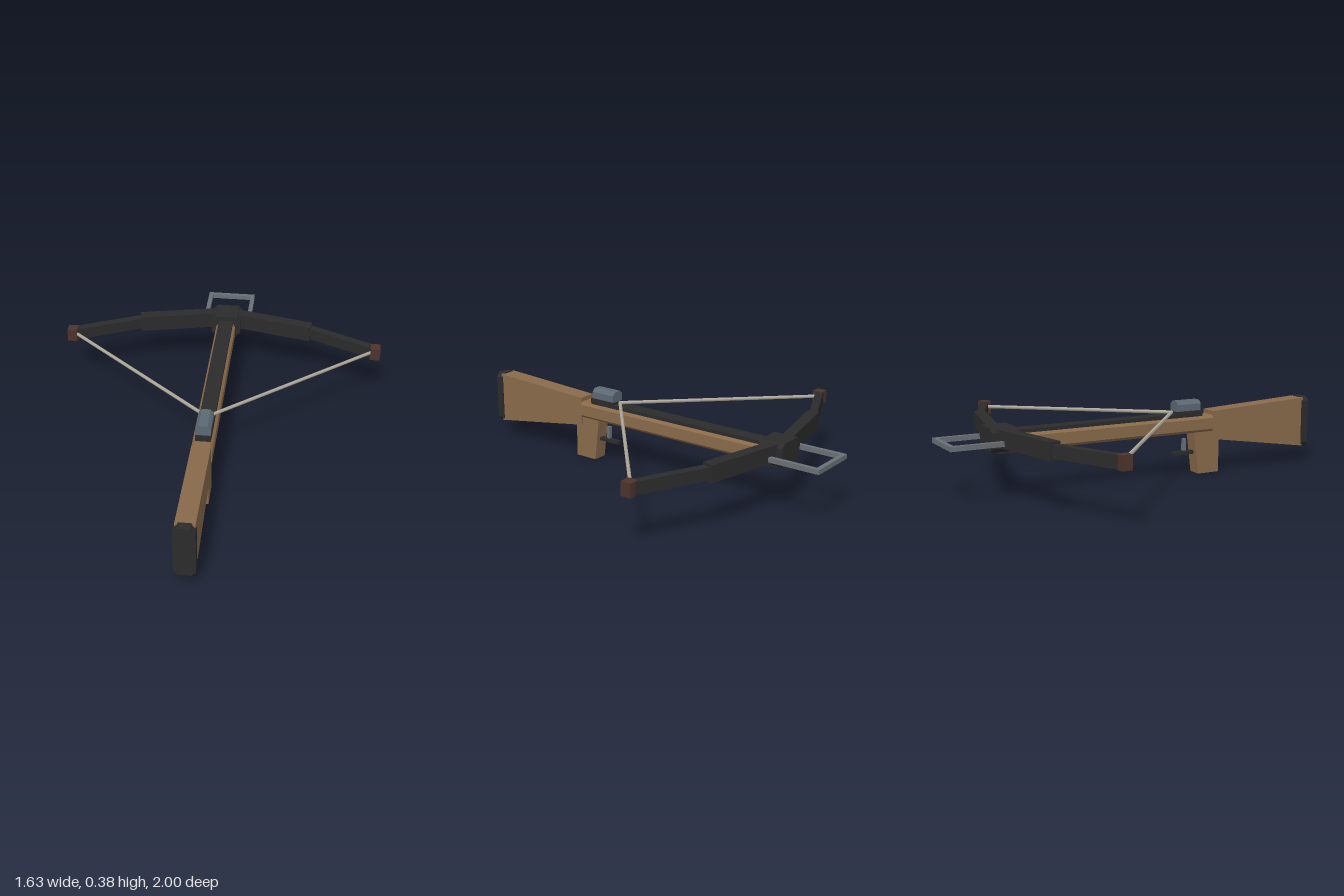
import * as THREE from 'three';

const mat = (name, color) => {
  const m = new THREE.MeshStandardMaterial({ color });
  m.name = name;
  return m;
};

export function createModel() {
  const wood = mat('wood', 0x8a6b4b);
  const black = mat('blackMetal', 0x2b2b2c);
  const steel = mat('steel', 0x697075);
  const blueSteel = mat('blueSteel', 0x5d6973);
  const tipBrown = mat('tipBrown', 0x4c342b);
  const cord = mat('cord', 0xb0aa9c);

  const model = new THREE.Group();
  model.name = 'crossbow';

  const add = (name, geometry, material, x = 0, y = 0, z = 0) => {
    const mesh = new THREE.Mesh(geometry, material);
    mesh.name = name;
    mesh.position.set(x, y, z);
    model.add(mesh);
    return mesh;
  };

  // box given by its limits
  const box = (name, material, x0, x1, y0, y1, z0, z1) =>
    add(name, new THREE.BoxGeometry(x1 - x0, y1 - y0, z1 - z0), material,
      (x0 + x1) / 2, (y0 + y1) / 2, (z0 + z1) / 2);

  const extrude = (points, depth) => new THREE.ExtrudeGeometry(
    new THREE.Shape(points.map(([x, y]) => new THREE.Vector2(x, y))),
    { depth, bevelEnabled: false });

  // bar along z with four chamfered long edges
  const chamferBar = (name, material, w, y0, y1, z0, z1, c, cBottom = c) => add(name, extrude([
    [-w + cBottom, y0], [w - cBottom, y0], [w, y0 + cBottom], [w, y1 - c],
    [w - c, y1], [-w + c, y1], [-w, y1 - c], [-w, y0 + cBottom],
  ], z1 - z0), material, 0, 0, z0);

  // side outline in (z, y), extruded across the width
  const sideProfile = (name, material, points, w) => {
    const mesh = add(name, extrude(points.map(([z, y]) => [-z, y]), 2 * w), material, -w);
    mesh.rotation.y = Math.PI / 2;
    return mesh;
  };

  // shoulder stock, butt pad and grip
  sideProfile('stock', wood, [[0.97, 0.085], [0.41, 0.172], [0.41, 0.315], [0.97, 0.343]], 0.045);
  chamferBar('buttPad', black, 0.05, 0.08, 0.347, 0.96, 1, 0.022);
  sideProfile('grip', wood, [[0.45, 0], [0.33, 0], [0.303, 0.22], [0.45, 0.22]], 0.037);

  // fore-end, rail and latch
  chamferBar('foreEnd', wood, 0.05, 0.212, 0.295, -0.72, 0.41, 0.014);
  box('rail', black, -0.037, 0.037, 0.285, 0.311, -0.68, 0.35);
  box('latchBase', black, -0.036, 0.036, 0.295, 0.323, 0.21, 0.352);
  chamferBar('latch', blueSteel, 0.036, 0.322, 0.375, 0.21, 0.342, 0.016, 0.004);

  // trigger and guard bar
  box('trigger', steel, -0.01, 0.01, 0.12, 0.18, 0.258, 0.275);
  box('guardBar', black, -0.013, 0.013, 0.1, 0.117, 0.2, 0.322);

  // bow mount
  chamferBar('bowMount', black, 0.077, 0.22, 0.333, -0.787, -0.665, 0.02);
  box('foreEndCap', black, -0.051, 0.051, 0.21, 0.29, -0.75, -0.657);

  // foot stirrup
  for (const s of [-1, 1]) {
    box('stirrupSide', steel, s * 0.115 - 0.011, s * 0.115 + 0.011, 0.257, 0.28, -1, -0.73);
  }
  box('stirrupFront', steel, -0.126, 0.126, 0.257, 0.28, -1, -0.978);

  // bow limbs, tips and string, mirrored
  const limb = (name, s, a, b, height, thick) => {
    const dx = s * (b[0] - a[0]), dz = b[1] - a[1];
    const mesh = add(name, new THREE.BoxGeometry(Math.hypot(dx, dz), height, thick), black,
      s * (a[0] + b[0]) / 2, 0.286, (a[1] + b[1]) / 2);
    mesh.rotation.y = -Math.atan2(dz, dx);
  };
  for (const s of [-1, 1]) {
    limb('innerLimb', s, [0.03, -0.738], [0.452, -0.645], 0.082, 0.056);
    limb('outerLimb', s, [0.43, -0.652], [0.785, -0.493], 0.06, 0.04);
    box('limbTip', tipBrown, s * 0.79 - 0.025, s * 0.79 + 0.025, 0.254, 0.32, -0.516, -0.465);

    const path = new THREE.LineCurve3(
      new THREE.Vector3(s * 0.775, 0.291, -0.485), new THREE.Vector3(0, 0.32, 0.195));
    add('string', new THREE.TubeGeometry(path, 1, 0.009, 6), cord);
  }

  return model;
}
